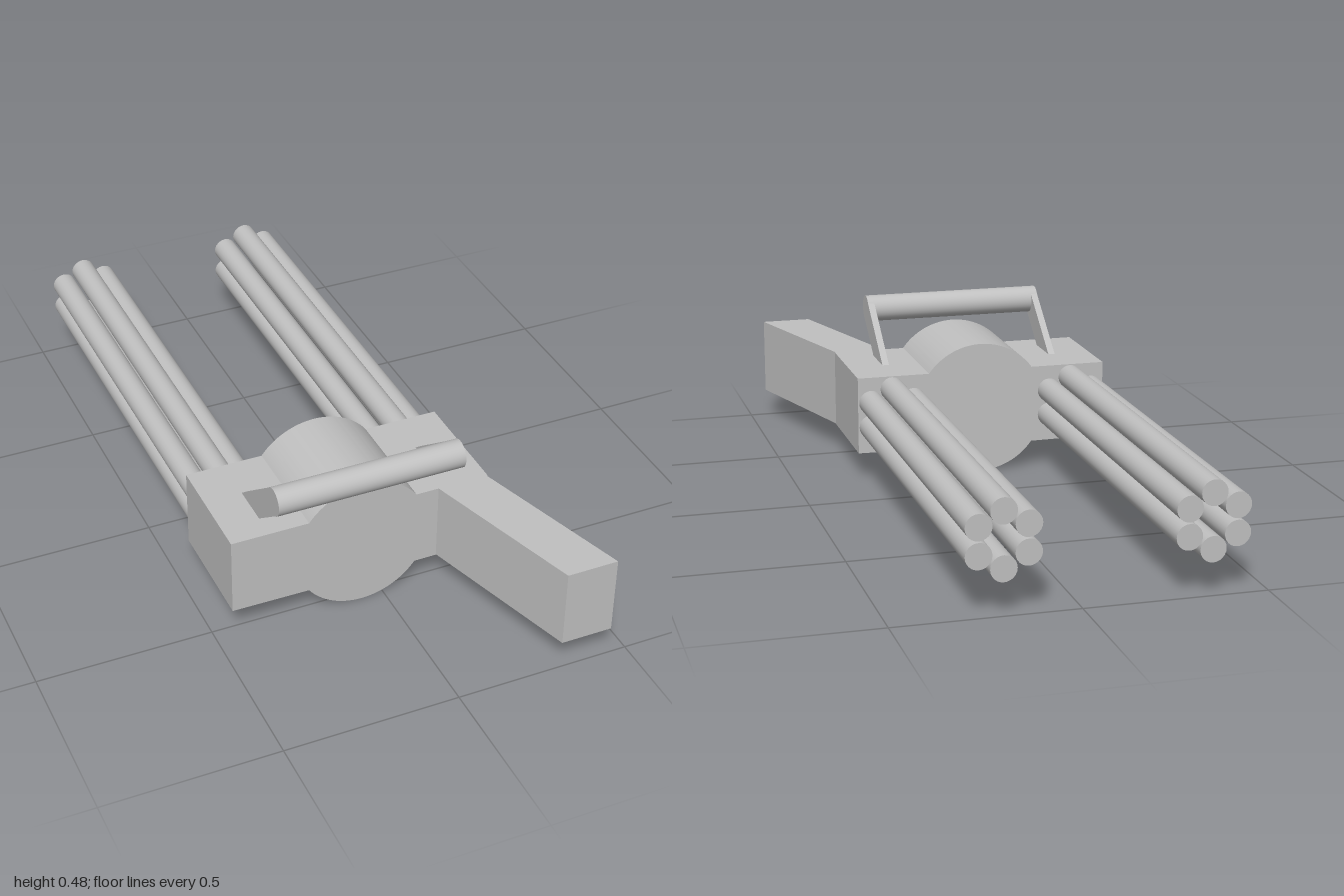
import * as THREE from 'three';
import { toCreasedNormals } from 'three/addons/utils/BufferGeometryUtils.js';

export function createModel() {
  const model = new THREE.Group();
  model.name = 'twinBarrelGun';
  const grey = new THREE.MeshStandardMaterial({ color: 0xc0c0c0 });
  grey.name = 'light grey';

  const add = (parent, name, geometry, x = 0, y = 0, z = 0) => {
    const mesh = new THREE.Mesh(geometry, grey);
    mesh.name = name;
    mesh.position.set(x, y, z);
    parent.add(mesh);
    return mesh;
  };

  const low = 0.083, high = 0.313, mid = 0.197;
  const back = 0.2, front = 0.532;

  // Body: a block with a round drum bulging out above and below
  const drumX = -0.066, drumR = 0.197;
  const a = Math.asin((high - mid) / drumR);
  const profile = new THREE.Shape();
  profile.moveTo(0.31, low);
  profile.lineTo(0.31, high);
  profile.absarc(drumX, mid, drumR, a, Math.PI - a, false);
  profile.lineTo(-0.45, high);
  profile.lineTo(-0.45, low);
  profile.absarc(drumX, mid, drumR, Math.PI + a, 2 * Math.PI - a, false);
  const body = new THREE.ExtrudeGeometry(profile, {
    depth: front - back, bevelEnabled: false, curveSegments: 24,
  });
  add(model, 'body', toCreasedNormals(body, 0.5), 0, 0, back);

  // Rear grip: a slanted block, drawn in plan and extruded upward
  const plan = new THREE.Shape([
    [0.16, front], [0.302, 1], [0.45, 1], [0.307, front],
  ].map(([x, z]) => new THREE.Vector2(x, -z)));
  const grip = new THREE.ExtrudeGeometry(plan, { depth: high - low, bevelEnabled: false });
  grip.rotateX(-Math.PI / 2);
  add(model, 'grip', grip, 0, low, 0);

  // Two bundles of six barrels in a ring
  const barrel = new THREE.CylinderGeometry(0.0355, 0.0355, 1 + back, 24);
  barrel.rotateX(Math.PI / 2);
  for (const [name, x] of [['rightBarrels', -0.346], ['leftBarrels', 0.206]]) {
    const bundle = new THREE.Group();
    bundle.name = name;
    bundle.position.set(x, 0.2, (back - 1) / 2);
    for (let i = 0; i < 6; i++) {
      const t = Math.PI / 2 + (i * Math.PI) / 3;
      add(bundle, 'barrel', barrel, 0.075 * Math.cos(t), 0.075 * Math.sin(t), 0);
    }
    model.add(bundle);
  }

  // Carrying handle: a round bar on two slanted struts
  const handle = new THREE.Group();
  handle.name = 'handle';
  handle.position.set(-0.068, 0.44, 0.56);
  model.add(handle);
  const bar = new THREE.CylinderGeometry(0.04, 0.04, 0.544, 32);
  bar.rotateZ(Math.PI / 2);
  add(handle, 'handleBar', bar);
  const strut = new THREE.BoxGeometry(0.02, 0.076, 0.27);
  strut.translate(0, 0, -0.135);
  for (const side of [-1, 1]) {
    add(handle, 'handleStrut', strut, side * 0.262).rotation.x = -THREE.MathUtils.degToRad(38);
  }

  return model;
}
